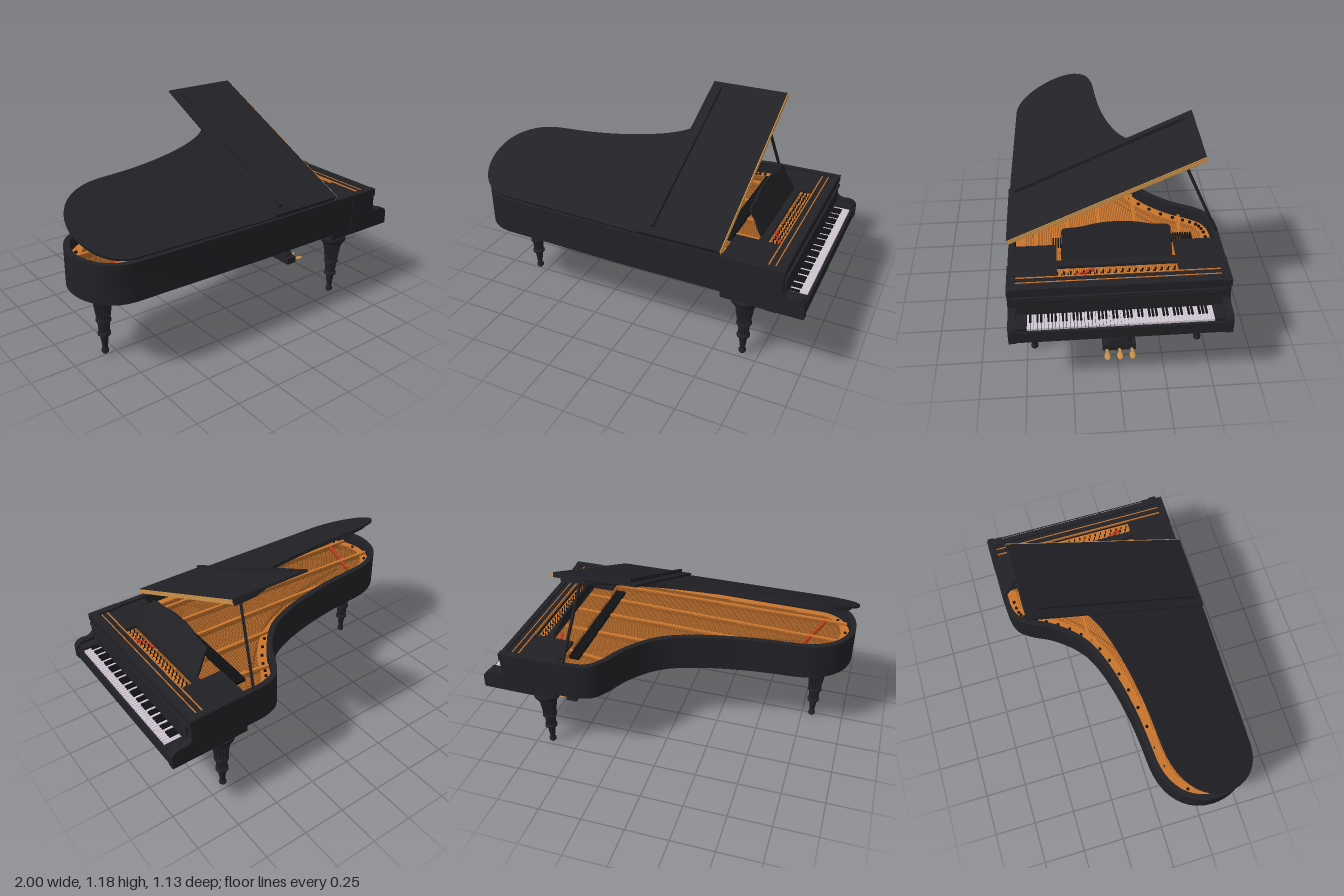
import * as THREE from 'three';
import { toCreasedNormals } from 'three/addons/utils/BufferGeometryUtils.js';

const mat = (color) => new THREE.MeshStandardMaterial({ color, side: THREE.DoubleSide });
const BLACK = mat(0x222126), ORANGE = mat(0xc8742c), GOLD = mat(0xc89048), STRING = mat(0x8a5020),
  IVORY = mat(0xd0c8d4), EBONY = mat(0x141416), RED = mat(0xc03a20);
const V = (x, y) => new THREE.Vector2(x, y);

function add(parent, name, geo, material, x = 0, y = 0, z = 0) {
  const m = new THREE.Mesh(geo, material);
  m.name = name;
  m.position.set(x, y, z);
  parent.add(m);
  return m;
}
// box given by its min and max on each axis
function box(parent, name, material, x0, x1, y0, y1, z0, z1) {
  return add(parent, name, new THREE.BoxGeometry(x1 - x0, y1 - y0, z1 - z0), material,
    (x0 + x1) / 2, (y0 + y1) / 2, (z0 + z1) / 2);
}
// square bar running between two points
function bar(parent, name, material, a, b, w, h = w) {
  const p = new THREE.Vector3(...a), q = new THREE.Vector3(...b);
  const m = add(parent, name, new THREE.BoxGeometry(w, h, p.distanceTo(q)), material);
  m.position.copy(p).lerp(q, 0.5);
  m.lookAt(q);
  return m;
}
const extrude = (shape, depth) => toCreasedNormals(
  new THREE.ExtrudeGeometry(shape, { depth, bevelEnabled: false, curveSegments: 8 }), 0.5);
// horizontal slab from a plan outline (x, -z), with optional hole
function slab(parent, name, material, pts, y0, y1, hole) {
  const s = new THREE.Shape(pts);
  if (hole) s.holes.push(new THREE.Path(hole));
  return add(parent, name, extrude(s, y1 - y0).rotateX(-Math.PI / 2), material, 0, y0, 0);
}
// wing-shaped plan of the case: straight spine, round tail, S-curved bent side
function outline(xEnd) {
  const p = new THREE.Path();
  p.moveTo(xEnd, -0.56);
  p.lineTo(0, -0.56);
  p.lineTo(-0.78, -0.542);
  p.bezierCurveTo(-0.93, -0.53, -1, -0.4, -1, -0.28);
  p.bezierCurveTo(-1, -0.12, -0.88, -0.01, -0.7, 0.005);
  p.splineThru([V(-0.45, 0.025), V(-0.2, 0.07), V(0, 0.135), V(0.12, 0.215), V(0.22, 0.335),
    V(0.28, 0.45), V(0.34, 0.525), V(0.42, 0.555), V(0.52, 0.56)]);
  p.lineTo(xEnd, 0.56);
  return p.getPoints(10);
}
function inset(pts, d) {
  const n = pts.length;
  return pts.map((p, i) => {
    const a = p.clone().sub(pts[(i + n - 1) % n]).normalize();
    const b = pts[(i + 1) % n].clone().sub(p).normalize();
    const na = V(a.y, -a.x), nb = V(b.y, -b.x);
    return na.clone().add(nb).multiplyScalar(d / (1 + na.dot(nb))).add(p);
  });
}
// smallest x of an outline at a given depth z
function tailX(pts, z) {
  let x = 9;
  pts.forEach((p, i) => {
    const q = pts[(i + 1) % pts.length];
    if ((p.y + z) * (q.y + z) < 0) x = Math.min(x, p.x + (q.x - p.x) * (-z - p.y) / (q.y - p.y));
  });
  return x;
}

function buildCase(g) {
  const out = outline(0.88), inner = inset(out, 0.032), frame = inset(out, 0.085);
  slab(g, 'rim', BLACK, out, 0.45, 0.665, inner);
  slab(g, 'bottom', BLACK, inset(out, 0.01), 0.45, 0.47);
  slab(g, 'soundboard', ORANGE, inner, 0.53, 0.54);
  slab(g, 'ironFrame', ORANGE, inner, 0.575, 0.597, frame);
  // rivets along the bent side of the frame
  const holes = inset(out, 0.058);
  for (let i = 6; i < holes.length - 6; i += 5)
    add(g, 'frameRivet', new THREE.CylinderGeometry(0.009, 0.009, 0.01, 10), EBONY, holes[i].x, 0.6, -holes[i].y);
  // strings, struts, bridge and felts
  for (let i = 0; i < 100; i++) {
    const z = -0.49 + i * 0.0098, x = tailX(frame, z);
    if (x < 0.68) bar(g, 'string', STRING, [0.72, 0.61, z], [x, 0.604, z], 0.0025);
  }
  for (const [z0, z1] of [[-0.32, -0.38], [-0.12, -0.13], [0.08, 0.05], [0.26, 0.2], [0.42, 0.4]])
    bar(g, 'frameStrut', ORANGE, [0.72, 0.605, z0], [tailX(inner, z1), 0.597, z1], 0.018, 0.03);
  const bridge = [[0.45, -0.44], [0.25, -0.2], [0, 0], [-0.3, 0.12], [-0.7, 0.2]].map(([x, z]) => new THREE.Vector3(x, 0.575, z));
  add(g, 'bridge', new THREE.TubeGeometry(new THREE.CatmullRomCurve3(bridge), 40, 0.015, 6), ORANGE);
  bar(g, 'redFelt', RED, [-0.72, 0.6, 0.12], [-0.82, 0.6, 0.42], 0.012, 0.025);
  bar(g, 'redFelt', RED, [0.7, 0.613, 0.12], [0.76, 0.613, 0.25], 0.02, 0.01);
  bar(g, 'redFelt', RED, [0.62, 0.613, -0.36], [0.66, 0.613, -0.2], 0.015, 0.01);
  for (let i = 0; i < 56; i++) {
    const z = -0.42 + i * 0.0135;
    box(g, 'damper', EBONY, 0.46, 0.52, 0.612, 0.632, z, z + 0.008);
  }
  // tuning pin block
  box(g, 'pinBlock', ORANGE, 0.55, 0.79, 0.575, 0.607, -0.5, 0.5);
  for (let i = 0; i < 60; i++)
    add(g, 'tuningPin', new THREE.CylinderGeometry(0.004, 0.004, 0.025, 6), EBONY,
      0.725 + (i % 3) * 0.02, 0.617, -0.33 + i * 0.0112);
  // shelf around the music desk
  for (const s of [-1, 1]) {
    const z = [0.31 * s, 0.53 * s].sort((a, b) => a - b);
    box(g, 'shelfSide', BLACK, 0.54, 0.78, 0.635, 0.652, ...z);
  }
  box(g, 'shelfRail', BLACK, 0.665, 0.71, 0.635, 0.652, -0.32, 0.32);
  box(g, 'frontRail', BLACK, 0.79, 0.86, 0.6, 0.655, -0.53, 0.53);
  for (const x of [0.782, 0.818]) box(g, 'railTrim', ORANGE, x, x + 0.006, 0.64, 0.657, -0.52, 0.52);
}

function buildKeyboard(g) {
  box(g, 'keybed', BLACK, 0.55, 0.995, 0.415, 0.452, -0.56, 0.56);
  box(g, 'keyBase', BLACK, 0.86, 0.985, 0.45, 0.476, -0.53, 0.53);
  box(g, 'keySlip', BLACK, 0.98, 0.995, 0.415, 0.482, -0.53, 0.53);
  box(g, 'fallboard', BLACK, 0.87, 0.888, 0.5, 0.595, -0.52, 0.52);
  box(g, 'fallboardMoulding', BLACK, 0.87, 0.893, 0.605, 0.615, -0.54, 0.54);
  // scrolled cheeks at both ends
  const c = new THREE.Shape([V(0.7, 0.45), V(0.7, 0.665), V(0.885, 0.665), V(0.885, 0.625)]);
  c.lineTo(0.87, 0.615);
  c.bezierCurveTo(0.865, 0.56, 0.88, 0.52, 0.925, 0.52);
  c.bezierCurveTo(0.97, 0.53, 1, 0.51, 1, 0.48);
  c.lineTo(1, 0.415);
  c.lineTo(0.7, 0.415);
  for (const z of [-0.563, 0.523]) add(g, 'cheek', extrude(c, 0.04), BLACK, 0, 0, z);
  for (const z of [-0.523, 0.472]) box(g, 'keyBlock', BLACK, 0.87, 0.985, 0.45, 0.505, z, z + 0.051);
  const w = 0.94 / 52;
  for (let i = 0; i < 52; i++) {
    const z = 0.47 - i * w;
    box(g, 'whiteKey', IVORY, 0.872, 0.98, 0.47, 0.495, z - w + 0.0012, z - 0.0012);
    if (i < 51 && [0, 2, 3, 5, 6].includes(i % 7))
      box(g, 'blackKey', EBONY, 0.872, 0.94, 0.49, 0.505, z - w - 0.0055, z - w + 0.0055);
  }
}

function buildLid(g) {
  const lid = new THREE.Group();
  lid.name = 'lid';
  lid.position.set(0, 0.675, 0.56);
  lid.rotation.x = 0.44;
  g.add(lid);
  const out = outline(0.545).map((p) => V(p.x, p.y * 1.005 + 0.563));
  slab(lid, 'lidPanel', BLACK, out, 0, 0.012);
  slab(lid, 'lidInnerPanel', BLACK, inset(out, 0.045), -0.02, 0);
  box(lid, 'foldedLeaf', BLACK, 0.09, 0.545, 0.013, 0.026, -1.127, 0);
  for (const y of [0.001, 0.014]) box(lid, 'lidEdge', GOLD, 0.545, 0.55, y, y + 0.011, -1.127, 0);
  box(lid, 'lidBatten', BLACK, 0.142, 0.158, 0.026, 0.046, -1.07, -0.045);
  bar(g, 'lidProp', BLACK, [0.5, 0.66, -0.55], [0.44, 1.085, -0.36], 0.013);
}

function buildDesk(g) {
  const s = new THREE.Shape([V(-0.285, 0), V(0.285, 0)]);
  s.bezierCurveTo(0.295, 0.06, 0.27, 0.09, 0.28, 0.13);
  s.bezierCurveTo(0.285, 0.165, 0.27, 0.168, 0.23, 0.168);
  s.bezierCurveTo(0.14, 0.17, 0.13, 0.192, 0, 0.192);
  s.bezierCurveTo(-0.13, 0.192, -0.14, 0.17, -0.23, 0.168);
  s.bezierCurveTo(-0.27, 0.168, -0.285, 0.165, -0.28, 0.13);
  s.bezierCurveTo(-0.27, 0.09, -0.295, 0.06, -0.285, 0);
  const d = add(g, 'musicDesk', extrude(s, 0.012), BLACK, 0.665, 0.655, 0);
  d.rotation.set(0, Math.PI / 2, 0.47, 'ZYX');
}

function buildLegs(g) {
  const profile = [[0, 0], [0.012, 0.002], [0.02, 0.012], [0.021, 0.024], [0.014, 0.038], [0.015, 0.045],
    [0.024, 0.115], [0.036, 0.122], [0.036, 0.134], [0.03, 0.14], [0.033, 0.2], [0.042, 0.205], [0.042, 0.215],
    [0.038, 0.222], [0.052, 0.32], [0.056, 0.325], [0.056, 0.337], [0.066, 0.345], [0.077, 0.36], [0.078, 0.38],
    [0.07, 0.39], [0.046, 0.394], [0.046, 0.455]].map((p) => V(...p));
  const leg = new THREE.LatheGeometry(profile, 32), p = leg.attributes.position;
  // flutes on the tapered shaft
  for (let i = 0; i < p.count; i++) {
    const y = p.getY(i), k = Math.floor(i / profile.length) % 2 ? 0.88 : 1;
    if ((y > 0.137 && y < 0.203) || (y > 0.22 && y < 0.322)) p.setXYZ(i, p.getX(i) * k, y, p.getZ(i) * k);
  }
  const geo = toCreasedNormals(leg, 0.6);
  for (const [x, z] of [[0.66, 0.458], [0.66, -0.465], [-0.81, 0.235]]) add(g, 'leg', geo, BLACK, x, 0, z);
}

function buildLyre(g) {
  const lyre = new THREE.Group();
  lyre.name = 'pedalLyre';
  lyre.position.set(0.69, 0, -0.015);
  g.add(lyre);
  const outer = [[0.035, 0.105], [0.08, 0.125], [0.104, 0.18], [0.1, 0.23], [0.075, 0.28], [0.06, 0.32], [0.063, 0.36], [0.088, 0.418]];
  const inner = [[0.058, 0.418], [0.036, 0.36], [0.034, 0.31], [0.052, 0.265], [0.069, 0.22], [0.062, 0.18], [0.03, 0.166]];
  const curve = (pts) => new THREE.SplineCurve(pts.map((p) => V(...p))).getPoints(24);
  const half = [...curve(outer), ...curve(inner)];
  const s = new THREE.Shape([...half, ...half.map((p) => V(-p.x, p.y)).reverse()]);
  add(lyre, 'lyreFrame', extrude(s, 0.032).rotateY(Math.PI / 2), BLACK, -0.016, 0, 0);
  for (const k of [-1, 1])
    add(lyre, 'lyreScroll', new THREE.CylinderGeometry(0.014, 0.014, 0.036, 14).rotateZ(Math.PI / 2), BLACK, 0, 0.352, k * 0.056);
  box(lyre, 'lyreCrossbar', BLACK, -0.012, 0.012, 0.29, 0.304, -0.042, 0.042);
  for (const k of [-1, 0, 1]) {
    add(lyre, 'pedalRod', new THREE.CylinderGeometry(0.0035, 0.0035, 0.26, 8), BLACK, 0, 0.29, k * 0.02);
    box(lyre, 'pedal', GOLD, 0.02, 0.09, 0.024, 0.031, k * 0.07 - 0.007, k * 0.07 + 0.007);
    add(lyre, 'pedalPad', new THREE.SphereGeometry(1, 14, 8).scale(0.03, 0.006, 0.017), GOLD, 0.088, 0.027, k * 0.07);
  }
  // stepped pedal box
  box(lyre, 'pedalBox', BLACK, -0.03, 0.04, 0.018, 0.06, -0.093, 0.093);
  const taper = new THREE.CylinderGeometry(0.7, 1, 0.036, 4, 1).rotateY(Math.PI / 4).scale(0.046, 1, 0.1).toNonIndexed();
  taper.computeVertexNormals();
  add(lyre, 'pedalBoxTop', taper, BLACK, 0.004, 0.078, 0);
  box(lyre, 'lyreFoot', BLACK, -0.02, 0.02, 0.09, 0.115, -0.045, 0.045);
}

export function createModel() {
  const g = new THREE.Group();
  g.name = 'grandPiano';
  [buildCase, buildKeyboard, buildLid, buildDesk, buildLegs, buildLyre].forEach((build) => build(g));
  return g;
}
